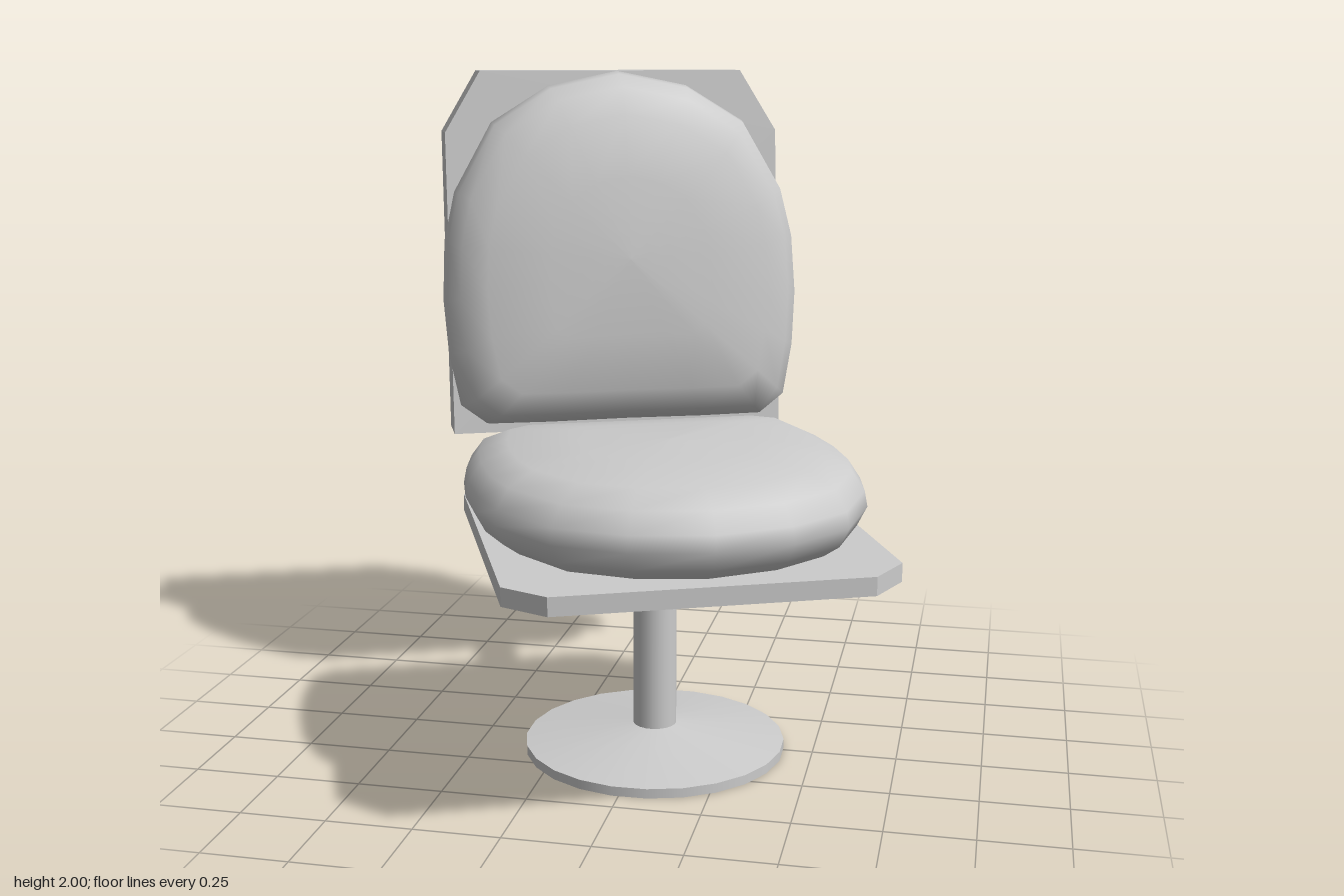
import * as THREE from 'three';

const material = new THREE.MeshStandardMaterial({ color: 0xcccccc });

function addPart(parent, name, geometry) {
  const mesh = new THREE.Mesh(geometry, material);
  mesh.name = name;
  parent.add(mesh);
  return mesh;
}

// Rectangle with its two far (+y) corners cut off, extruded along z
function boardGeometry(halfWidth, near, far, cutX, cutY, depth) {
  const shape = new THREE.Shape([
    [-halfWidth, near], [halfWidth, near], [halfWidth, far - cutY], [halfWidth - cutX, far],
    [-halfWidth + cutX, far], [-halfWidth, far - cutY],
  ].map(([x, y]) => new THREE.Vector2(x, y)));
  return new THREE.ExtrudeGeometry(shape, { depth, bevelEnabled: false });
}

// Pillow lying flat: straight at the back, rounded at the front, bulging above and below
function cushionGeometry() {
  const half = [
    [0, -0.32], [0.25, -0.322], [0.44, -0.32], [0.52, -0.26], [0.552, -0.1], [0.564, 0.07],
    [0.555, 0.25], [0.52, 0.4], [0.4, 0.61], [0.22, 0.72], [0, 0.765],
  ];
  const outline = [...half, ...half.slice(1, -1).reverse().map(([x, z]) => [-x, z])];
  const rings = [ // [scale, height]
    [0, 0.66], [0.35, 0.667], [0.65, 0.69], [0.85, 0.73], [0.95, 0.77], [1, 0.825],
    [0.985, 0.87], [0.92, 0.925], [0.78, 0.965], [0.45, 0.99], [0, 0.997],
  ];
  const centreZ = 0.2;
  const n = outline.length;
  const positions = [];
  const index = [];
  rings.forEach(([s, y], r) => {
    outline.forEach(([x, z], j) => {
      positions.push(x * s, y, centreZ + (z - centreZ) * s);
      if (r === rings.length - 1) return;
      const a = r * n + j;
      const c = r * n + (j + 1) % n;
      index.push(a, a + n, c, c, a + n, c + n);
    });
  });
  const geometry = new THREE.BufferGeometry();
  geometry.setAttribute('position', new THREE.Float32BufferAttribute(positions, 3));
  geometry.setIndex(index);
  geometry.computeVertexNormals();
  return geometry;
}

export function createModel() {
  const model = new THREE.Group();
  model.name = 'swivelChair';

  // The chair is swivelled about its post
  const chair = new THREE.Group();
  chair.name = 'chair';
  chair.position.set(0.025, 0, 0.04);
  chair.rotation.y = 0.408;
  model.add(chair);

  // Pedestal
  addPart(chair, 'baseRim', new THREE.CylinderGeometry(0.39, 0.39, 0.028, 24).translate(0, 0.014, 0));
  addPart(chair, 'baseCone', new THREE.CylinderGeometry(0.065, 0.39, 0.048, 24).translate(0, 0.052, 0));
  addPart(chair, 'post', new THREE.CylinderGeometry(0.065, 0.065, 0.65, 20).translate(0, 0.375, 0));

  // Seat
  addPart(chair, 'seatBoard',
    boardGeometry(0.535, -0.3, 0.76, 0.105, 0.105, 0.052).rotateX(Math.PI / 2).translate(0, 0.737, 0));
  addPart(chair, 'seatCushion', cushionGeometry());

  // Backrest parts are built upright, then slanted backwards
  const slope = 0.105;
  const slant = new THREE.Matrix4().set(
    1, 0, 0, 0,
    0, 1, 0, 0,
    0, -slope, 1, slope * 0.86 - 0.7,
    0, 0, 0, 1,
  );
  addPart(chair, 'backBoard', boardGeometry(0.535, 0.865, 2, 0.115, 0.19, 0.13).applyMatrix4(slant));
  addPart(chair, 'backCushion', cushionGeometry()
    .rotateX(Math.PI / 2).rotateZ(Math.PI)
    .translate(0, 1.235, 0.13 - 0.735)
    .applyMatrix4(slant));

  // Shallow rounded bracket on the rear of the backrest
  addPart(chair, 'backBracket', new THREE.CylinderGeometry(0.135, 0.135, 0.78, 24)
    .rotateZ(Math.PI / 2)
    .scale(1, 1, 0.045 / 0.135)
    .translate(0, 1.315, 0)
    .applyMatrix4(slant));

  // Flat oval arm joining the seat to the backrest
  const v = (y, z) => new THREE.Vector3(0, y, z);
  const path = new THREE.CurvePath();
  path.add(new THREE.LineCurve3(v(1.25, -0.73), v(0.7, -0.73)));
  path.add(new THREE.QuadraticBezierCurve3(v(0.7, -0.73), v(0.655, -0.73), v(0.655, -0.68)));
  path.add(new THREE.LineCurve3(v(0.655, -0.68), v(0.663, -0.26)));
  const widen = 1.85;
  addPart(chair, 'backArm', new THREE.TubeGeometry(path, 48, 0.036, 16).scale(widen, 1, 1));
  addPart(chair, 'backArmEnd', new THREE.CircleGeometry(0.036, 16).scale(widen, 1, 1).translate(0, 0.663, -0.26));

  return model;
}
